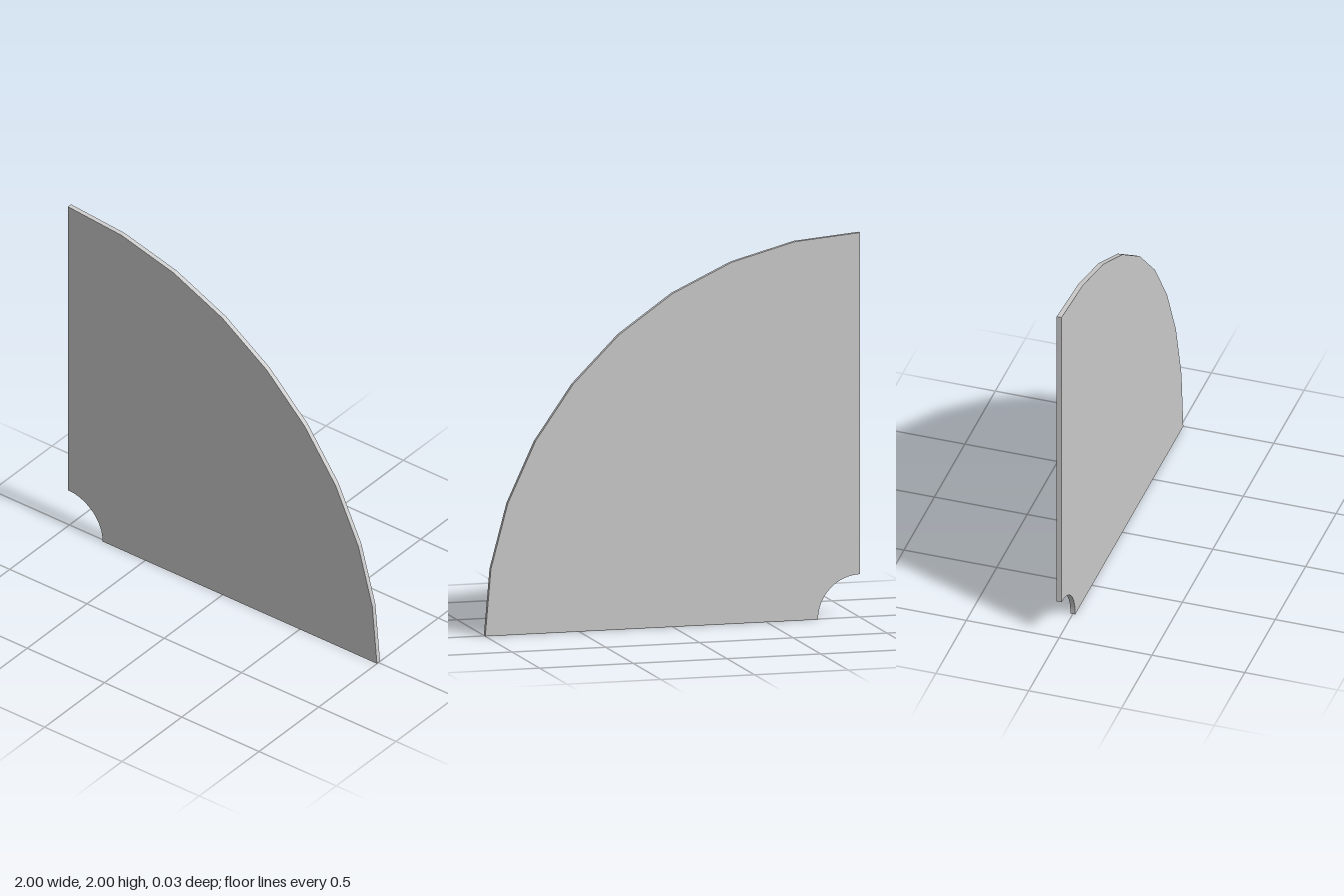
import * as THREE from 'three';

const OUTER = 2, INNER = 0.225, THICKNESS = 0.026;

// Points along a quarter circle, from the +x axis to the +y axis
function quarterArc(radius, segments) {
  return Array.from({ length: segments + 1 }, (_, i) => {
    const a = (i / segments) * Math.PI / 2;
    return new THREE.Vector2(Math.cos(a) * radius, Math.sin(a) * radius);
  });
}

export function createModel() {
  const model = new THREE.Group();
  model.name = 'quarterRingPanel';

  // Thin quarter ring: faceted outer rim, finer concave notch at the corner
  const outline = [...quarterArc(OUTER, 9), ...quarterArc(INNER, 16).reverse()];
  const geometry = new THREE.ExtrudeGeometry(new THREE.Shape(outline), {
    depth: THICKNESS,
    bevelEnabled: false,
  });
  geometry.translate(-OUTER / 2, 0, -THICKNESS / 2);

  const panel = new THREE.Mesh(
    geometry,
    new THREE.MeshStandardMaterial({ color: 0xcccccc, flatShading: true })
  );
  panel.name = 'panel';
  model.add(panel);
  return model;
}
